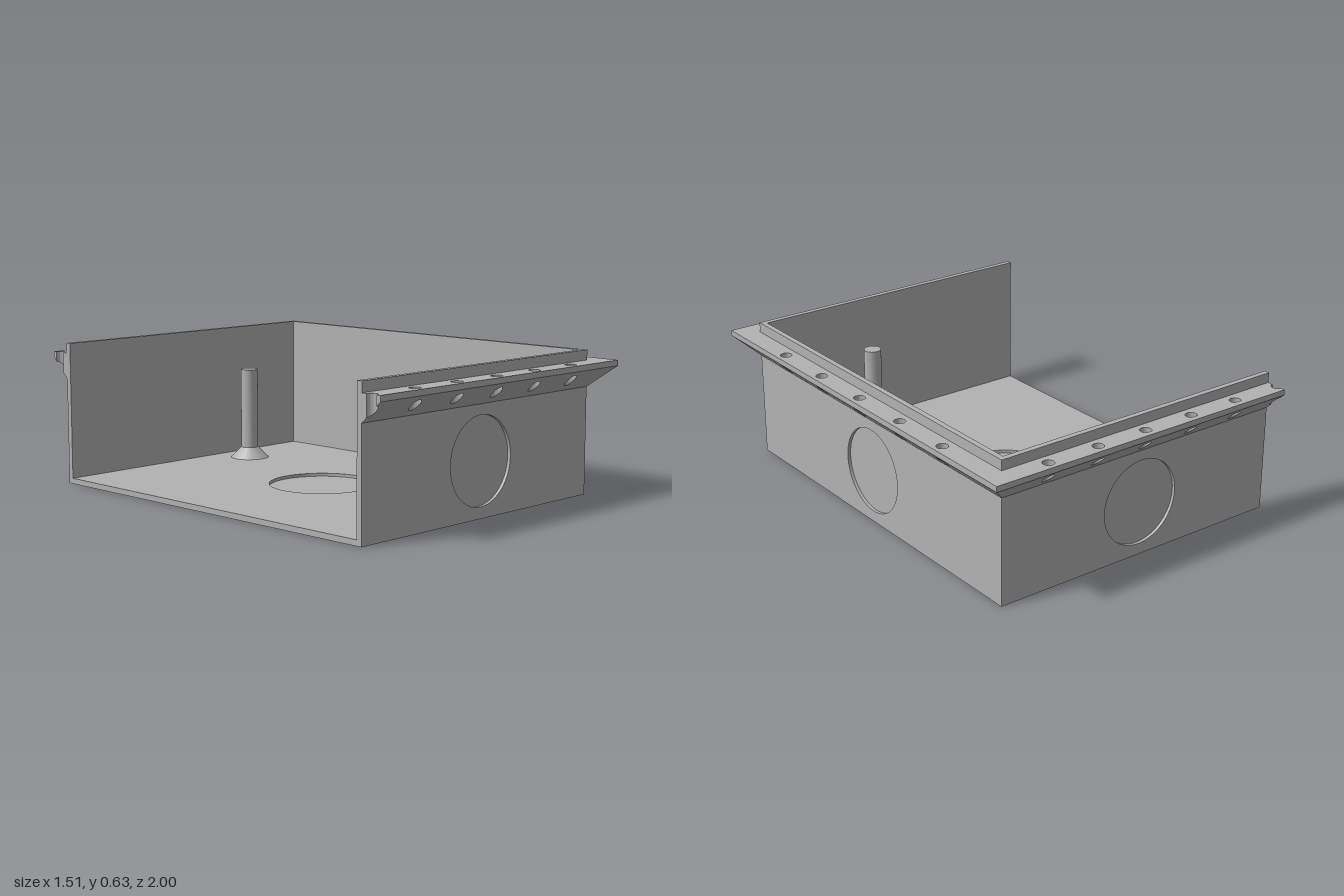
import * as THREE from 'three';
import { toCreasedNormals } from 'three/addons/utils/BufferGeometryUtils.js';

const LEFT = -0.755, RIGHT = 0.66, HALF_Z = 0.905;  // box outside, open at LEFT
const WALL = 0.025, RECESS = 0.014;                 // sheet thickness, knockout depth
const WALL_TOP = 0.635, FLANGE_TOP = 0.59, FLANGE_LOW = 0.475, FLANGE_EDGE = 0.565;
const FLANGE_W = 0.095, HOLE_D = 0.05, HOLE_R = 0.025;

export function createModel() {
  const model = new THREE.Group();
  model.name = 'cutawayBox';
  const grey = new THREE.MeshStandardMaterial({ color: 0xb2b2b2 });
  grey.name = 'grey';

  const addMesh = (parent, name, geometry) => {
    const mesh = new THREE.Mesh(geometry, grey);
    mesh.name = name;
    parent.add(mesh);
    return mesh;
  };
  const circle = (x, y, r) => new THREE.Path().absarc(x, y, r, 0, Math.PI * 2, false);
  const extrude = (shape, depth) =>
    new THREE.ExtrudeGeometry(shape, { depth, bevelEnabled: false, curveSegments: 32 });

  // Sheet whose outer face (local z = 0) carries a shallow round knockout
  function panel(name, x0, x1, y0, y1, cx, cy, r) {
    const group = new THREE.Group();
    group.name = name;
    const outline = () => new THREE.Shape(
      [[x0, y0], [x1, y0], [x1, y1], [x0, y1]].map(p => new THREE.Vector2(...p)));
    const holed = outline();
    holed.holes.push(circle(cx, cy, r));
    addMesh(group, name + 'Face', toCreasedNormals(extrude(holed, RECESS), 0.6)).position.z = -RECESS;
    addMesh(group, name + 'Backing', extrude(outline(), WALL - RECESS)).position.z = -WALL;
    model.add(group);
    return group;
  }

  // Walls and floor
  const inZ = HALF_Z - WALL, kx = -0.05, ky = 0.24, kr = 0.19;
  panel('frontWall', LEFT, RIGHT, 0, WALL_TOP, kx, ky, kr).position.z = HALF_Z;
  const back = panel('backWall', -RIGHT, -LEFT, 0, WALL_TOP, -kx, ky, kr);
  back.rotation.y = Math.PI;
  back.position.z = -HALF_Z;
  const end = panel('endWall', -inZ, inZ, 0, WALL_TOP, 0, ky, kr);
  end.rotation.y = Math.PI / 2;
  end.position.x = RIGHT;
  const floor = panel('floor', LEFT, RIGHT - WALL, -inZ, inZ, kx, 0, 0.235);
  floor.rotation.x = -Math.PI / 2;
  floor.position.y = WALL;

  // Flange from its plan (local y = minus distance from the wall), underside sloped
  function flange(name, shape, holes) {
    for (const x of holes) shape.holes.push(circle(x, -HOLE_D, HOLE_R));
    const geometry = extrude(shape, 1).rotateX(-Math.PI / 2);
    const p = geometry.attributes.position;
    for (let i = 0; i < p.count; i++) {
      const slope = p.getZ(i) / FLANGE_W * (FLANGE_EDGE - FLANGE_LOW);
      p.setY(i, p.getY(i) > 0.5 ? FLANGE_TOP : FLANGE_LOW + slope);
    }
    return addMesh(model, name, toCreasedNormals(geometry, 0.6));
  }

  // Long flanges, mitred at the end wall and cut through a hole at the open side
  for (const s of [1, -1]) {
    const shape = new THREE.Shape();
    shape.moveTo(LEFT * s, -FLANGE_W);
    shape.lineTo((RIGHT + FLANGE_W) * s, -FLANGE_W);
    shape.lineTo(RIGHT * s, 0);
    shape.lineTo(LEFT * s, 0);
    shape.absarc(LEFT * s, -HOLE_D, HOLE_R, Math.PI / 2, s > 0 ? -Math.PI / 2 : Math.PI * 1.5, s > 0);
    shape.closePath();
    const holes = [-0.512, -0.265, -0.02, 0.226, 0.474].map(x => x * s);
    const mesh = flange(s > 0 ? 'frontFlange' : 'backFlange', shape, holes);
    mesh.rotation.y = s > 0 ? 0 : Math.PI;
    mesh.position.z = s * HALF_Z;
  }

  // End flange, mitred at both corners
  const outer = HALF_Z + FLANGE_W;
  const endShape = new THREE.Shape([[-outer, -FLANGE_W], [outer, -FLANGE_W], [HALF_Z, 0], [-HALF_Z, 0]]
    .map(p => new THREE.Vector2(...p)));
  const endFlange = flange('endFlange', endShape, [-0.59, -0.295, 0, 0.295, 0.59]);
  endFlange.rotation.y = Math.PI / 2;
  endFlange.position.x = RIGHT;

  // Posts with conical feet
  const profile = [[0, 0], [0.09, 0], [0.04, 0.05], [0.04, 0.425], [0, 0.425]]
    .map(p => new THREE.Vector2(...p));
  for (const s of [1, -1]) {
    const post = addMesh(model, s > 0 ? 'frontPost' : 'backPost',
      toCreasedNormals(new THREE.LatheGeometry(profile, 40), 0.5));
    post.position.set(0.18, WALL, s * 0.717);
  }
  return model;
}
